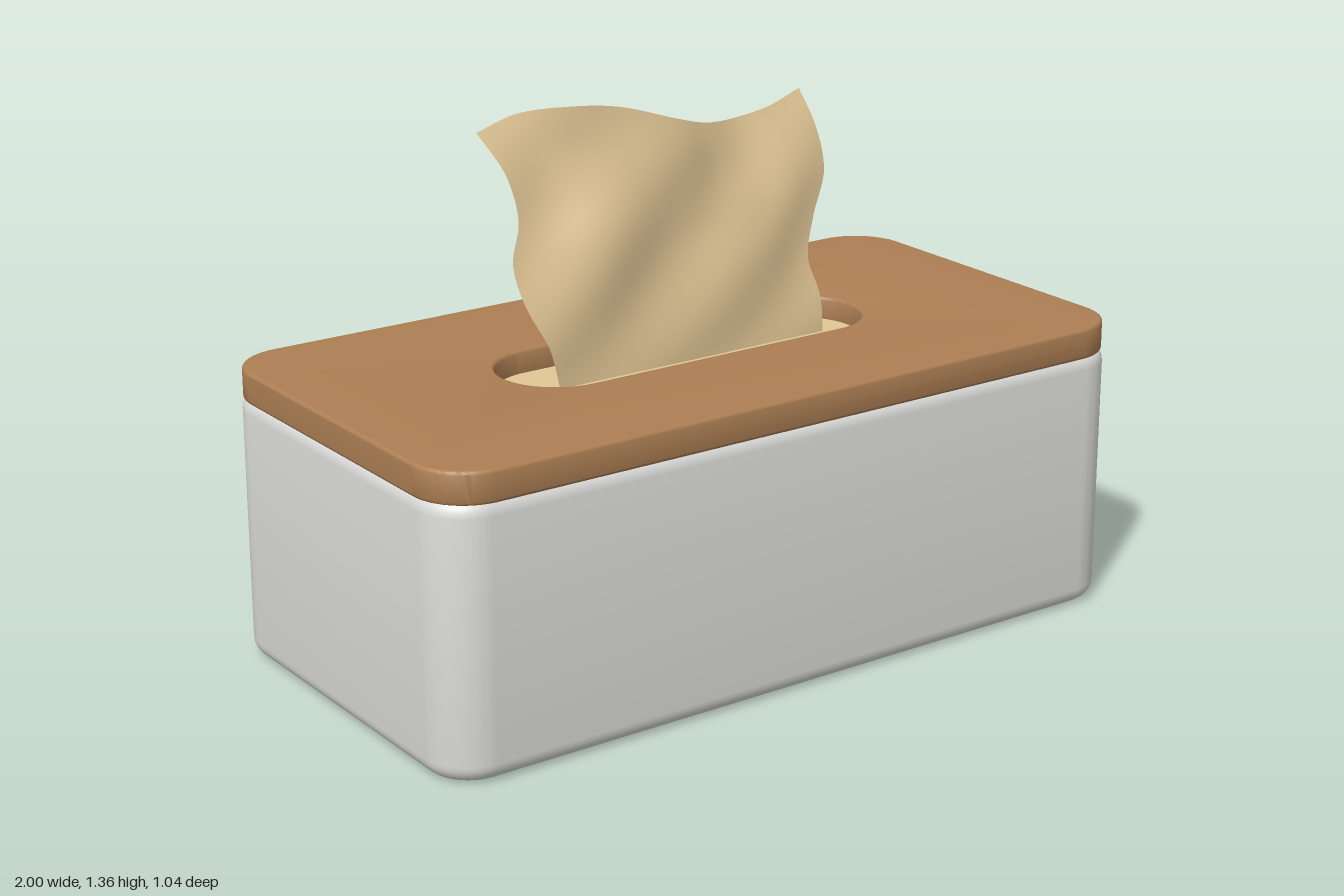
import * as THREE from 'three';
import { toCreasedNormals } from 'three/addons/utils/BufferGeometryUtils.js';

const ceramic = new THREE.MeshStandardMaterial({ name: 'pale grey', color: 0xdcdcda });
const wood = new THREE.MeshStandardMaterial({ name: 'warm wood', color: 0xad7f54 });
const paper = new THREE.MeshStandardMaterial({ name: 'tan paper', color: 0xe2c796, side: THREE.DoubleSide });

// Rounded rectangle outline centred on the origin
function roundedRect(Type, halfW, halfD, r) {
  const s = new Type();
  s.absarc(halfW - r, halfD - r, r, 0, Math.PI / 2);
  s.absarc(-halfW + r, halfD - r, r, Math.PI / 2, Math.PI);
  s.absarc(-halfW + r, -halfD + r, r, Math.PI, Math.PI * 1.5);
  s.absarc(halfW - r, -halfD + r, r, Math.PI * 1.5, Math.PI * 2);
  s.closePath();
  return s;
}

// Upright slab between two heights with softened top and bottom edges
function slab(shape, y0, y1, bevel) {
  const geo = new THREE.ExtrudeGeometry(shape, {
    depth: y1 - y0 - 2 * bevel, curveSegments: 12,
    bevelEnabled: bevel > 0, bevelThickness: bevel, bevelSize: bevel, bevelOffset: -bevel, bevelSegments: 6,
  });
  geo.rotateX(-Math.PI / 2).translate(0, y0 + bevel, 0);
  return toCreasedNormals(geo, 0.6);
}

function part(name, geometry, material) {
  const mesh = new THREE.Mesh(geometry, material);
  mesh.name = name;
  return mesh;
}

// Smooth curve through points, sampled by parameter
const curve = (pts) => new THREE.CatmullRomCurve3(pts.map((p) => new THREE.Vector3(...p)));

// Wavy sheet that leans back as it rises
function sheetGeometry() {
  const bottom = 0.69;
  // Side edges as [x, height]
  const left = curve([[-0.365, 0.69, 0], [-0.395, 0.77, 0], [-0.445, 0.87, 0], [-0.465, 0.97, 0],
    [-0.435, 1.12, 0], [-0.455, 1.22, 0], [-0.51, 1.32, 0]]);
  const right = curve([[0.435, 0.69, 0], [0.43, 0.79, 0], [0.405, 0.91, 0], [0.435, 1.0, 0],
    [0.482, 1.13, 0], [0.475, 1.22, 0], [0.452, 1.30, 0]]);
  // Top edge as [x, height, z]
  const top = curve([[-0.51, 1.32, -0.12], [-0.4, 1.352, -0.115], [-0.28, 1.362, -0.065],
    [-0.15, 1.347, -0.05], [0, 1.302, -0.03], [0.11, 1.27, -0.06], [0.22, 1.26, -0.095],
    [0.34, 1.273, -0.105], [0.452, 1.30, -0.128]]);
  const nu = 64, nv = 40;
  const geo = new THREE.PlaneGeometry(1, 1, nu, nv);
  const pos = geo.attributes.position;
  for (let j = 0; j <= nv; j++) {
    const t = 1 - j / nv;
    const l = left.getPoint(t), r = right.getPoint(t);
    for (let i = 0; i <= nu; i++) {
      const u = i / nu;
      const rim = top.getPointAt(u);
      const x = THREE.MathUtils.lerp(l.x, r.x, u);
      const y = bottom + (rim.y - bottom) * t;
      const fold = Math.sin(13 * x - 9 * y + 1) * 0.016 * Math.sin(Math.PI * t);
      const z = rim.z * Math.pow(t, 2.2) + fold + 0.005 * (1 - t);
      pos.setXYZ(j * (nu + 1) + i, x, y, z);
    }
  }
  geo.computeVertexNormals();
  return geo;
}

export function createModel() {
  const model = new THREE.Group();
  model.name = 'tissueBox';

  // Box body
  model.add(part('body', slab(roundedRect(THREE.Shape, 0.997, 0.517, 0.12), 0, 0.685, 0.045), ceramic));

  // Lid with a long rounded slot
  const lidShape = roundedRect(THREE.Shape, 1, 0.52, 0.14);
  lidShape.holes.push(roundedRect(THREE.Path, 0.522, 0.152, 0.152));
  model.add(part('lid', slab(lidShape, 0.67, 0.75, 0.008), wood));

  // Paper stack seen through the slot
  model.add(part('paperStack', slab(roundedRect(THREE.Shape, 0.53, 0.16, 0.16), 0.684, 0.692, 0), paper));

  // Sheet pulled up through the slot
  model.add(part('sheet', sheetGeometry(), paper));

  return model;
}
